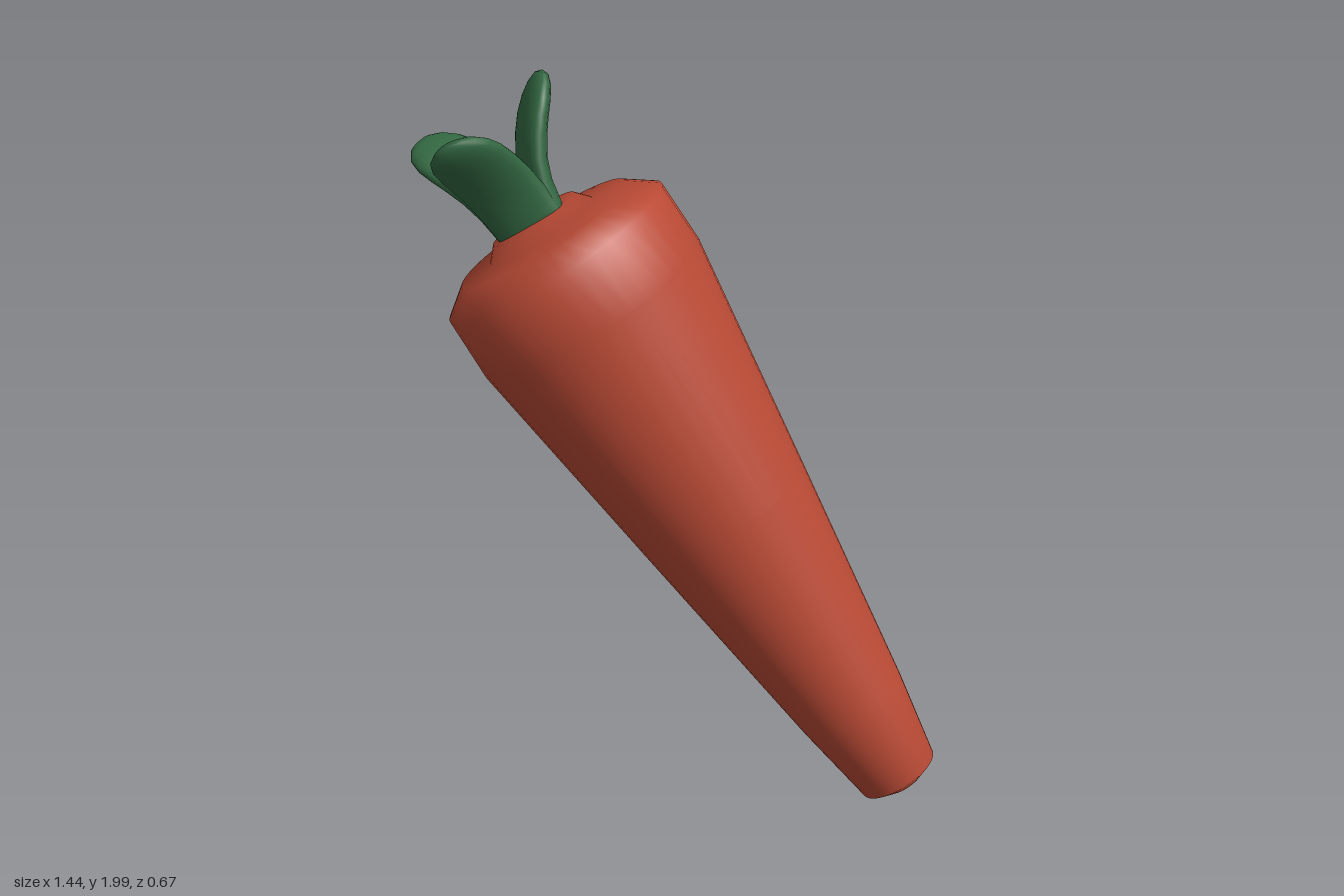
import * as THREE from 'three';
import { mergeVertices } from 'three/addons/utils/BufferGeometryUtils.js';

const rootMaterial = new THREE.MeshStandardMaterial({ color: 0xb94a35 });
const leafMaterial = new THREE.MeshStandardMaterial({ color: 0x336842 });

// Lathe from [radius, height] pairs, welded for smooth normals
function lathe(pairs, segments) {
  const geo = new THREE.LatheGeometry(pairs.map(([r, y]) => new THREE.Vector2(r, y)), segments);
  return weld(geo);
}

function weld(geo) {
  geo.deleteAttribute('uv');
  geo.deleteAttribute('normal');
  const merged = mergeVertices(geo, 1e-4);
  merged.computeVertexNormals();
  return merged;
}

// Tapering root with rounded shoulder and a small raised crown
function createRoot() {
  const profile = [
    [0, -0.037], [0.06, -0.029], [0.113, 0], [0.155, 0.25], [0.245, 0.91],
    [0.333, 1.57], [0.33, 1.745], [0.253, 1.803], [0.16, 1.81], [0.126, 1.848], [0, 1.857],
  ];
  return new THREE.Mesh(lathe(profile, 40), rootMaterial);
}

// Flattened round-tipped leaf bent along a spine that curls towards +z
function createLeafGeometry() {
  const spine = new THREE.CatmullRomCurve3([
    new THREE.Vector3(0, 1.8, 0.04),
    new THREE.Vector3(0, 1.95, 0.068),
    new THREE.Vector3(0, 2.05, 0.128),
    new THREE.Vector3(0, 2.155, 0.232),
  ]);
  const profile = [
    [0, 0], [0.95, 0.001], [0.97, 0.15], [0.99, 0.3], [1, 0.45], [1, 0.6],
    [0.98, 0.72], [0.9, 0.83], [0.72, 0.92], [0.42, 0.98], [0, 1],
  ];
  const geo = lathe(profile, 20);
  const pos = geo.attributes.position;
  for (let i = 0; i < pos.count; i++) {
    const t = THREE.MathUtils.clamp(pos.getY(i), 0, 1);
    const p = spine.getPointAt(t);
    const d = spine.getTangentAt(t);
    const offset = pos.getZ(i) * 0.037;
    pos.setXYZ(i, pos.getX(i) * 0.1, p.y - d.z * offset, p.z + d.y * offset);
  }
  geo.computeVertexNormals();
  return geo;
}

export function createModel() {
  const model = new THREE.Group();
  model.name = 'carrot';

  // Everything is built upright, then leaned about the tip
  const carrot = new THREE.Group();
  carrot.name = 'leaningCarrot';
  carrot.position.set(0.627, 0.065, 0);
  carrot.rotation.z = 0.571;
  model.add(carrot);

  const root = createRoot();
  root.name = 'root';
  carrot.add(root);

  // Three leaves spaced evenly round the crown
  const leafGeometry = createLeafGeometry();
  const leaves = new THREE.Group();
  leaves.name = 'leaves';
  for (let i = 0; i < 3; i++) {
    const leaf = new THREE.Mesh(leafGeometry, leafMaterial);
    leaf.name = `leaf${i + 1}`;
    leaf.rotation.y = (i * Math.PI * 2) / 3;
    leaves.add(leaf);
  }
  carrot.add(leaves);
  return model;
}
